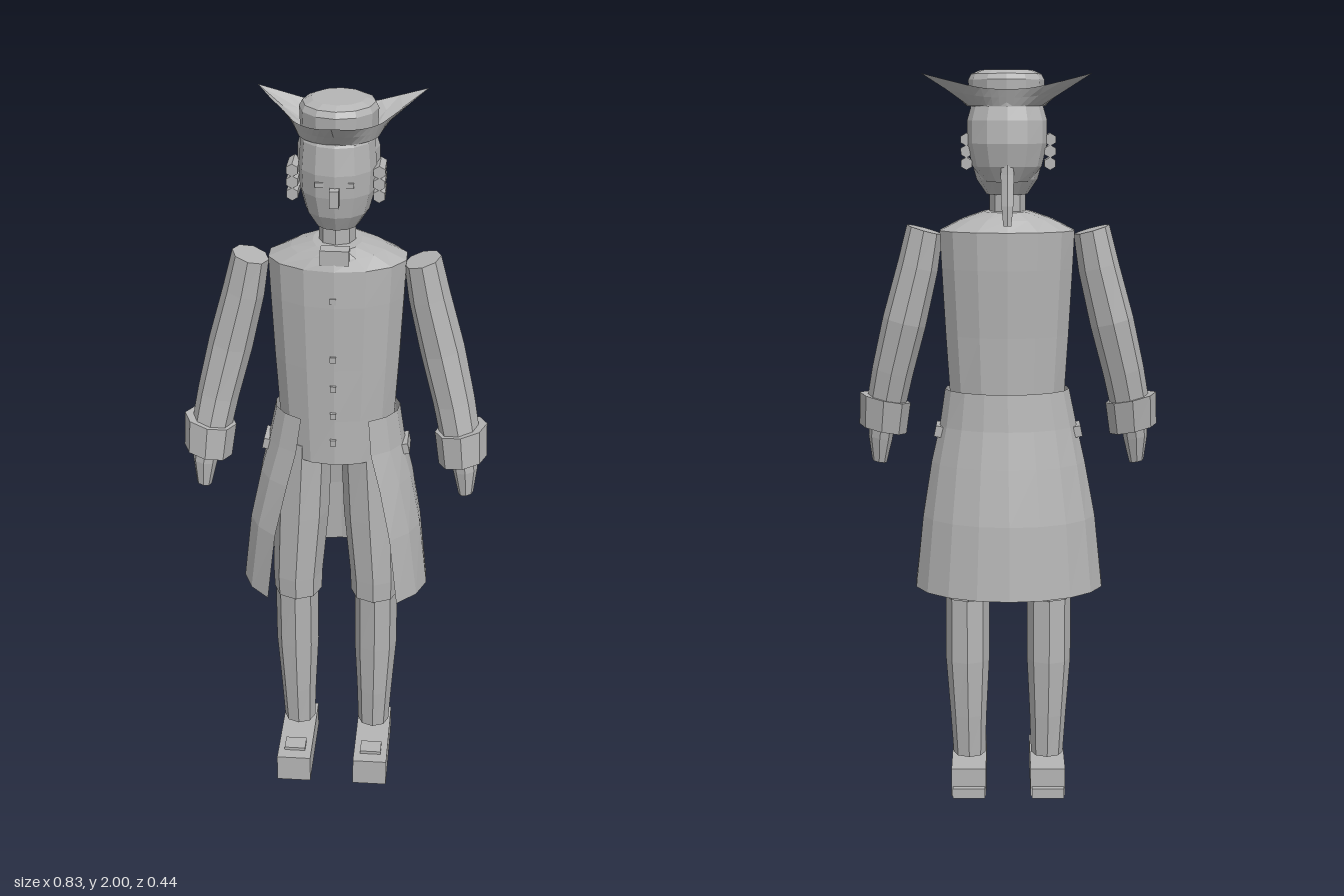
import * as THREE from 'three';

const TAU = Math.PI * 2;
const grey = new THREE.MeshStandardMaterial({ color: 0xb4b4b4, flatShading: true, side: THREE.DoubleSide });
grey.name = 'grey';

// Elliptical cross-section; angle 0 faces +z, tilt leans the ring sideways
const ring = (x, y, z, rx, rz, tilt = 0) => a =>
  [x + rx * Math.sin(a), y + tilt * rx * Math.sin(a), z + rz * Math.cos(a)];

// Skin a stack of cross-sections, listed bottom to top; gaps[i] is the half angle left open at the front
function loft(rings, n, { caps = true, gaps = rings.map(() => 0) } = {}) {
  const rows = rings.map((r, i) =>
    Array.from({ length: n + 1 }, (_, j) => r(gaps[i] + (TAU - 2 * gaps[i]) * j / n)));
  const pos = [];
  const tri = (...p) => p.forEach(v => pos.push(...v));
  for (let i = 0; i < rows.length - 1; i++) for (let j = 0; j < n; j++) {
    const a = rows[i], b = rows[i + 1];
    tri(a[j], a[j + 1], b[j + 1]);
    tri(a[j], b[j + 1], b[j]);
  }
  if (caps) {
    const mid = row => [0, 1, 2].map(k => row.slice(0, n).reduce((s, p) => s + p[k], 0) / n);
    const lo = rows[0], hi = rows[rows.length - 1], cl = mid(lo), ch = mid(hi);
    for (let j = 0; j < n; j++) {
      tri(cl, lo[j + 1], lo[j]);
      tri(ch, hi[j], hi[j + 1]);
    }
  }
  const g = new THREE.BufferGeometry();
  g.setAttribute('position', new THREE.Float32BufferAttribute(pos, 3));
  g.computeVertexNormals();
  return g;
}

export function createModel() {
  const model = new THREE.Group();
  model.name = 'figure';
  const add = (name, geo, x = 0, y = 0, z = 0) => {
    const m = new THREE.Mesh(geo, grey);
    m.name = name;
    m.position.set(x, y, z);
    model.add(m);
    return m;
  };
  const box = (name, w, h, d, x, y, z) => add(name, new THREE.BoxGeometry(w, h, d), x, y, z);

  // Coat body with sloping shoulders
  add('coatBody', loft([
    ring(0.003, 1.02, -0.015, 0.15, 0.12),
    ring(0.003, 1.15, -0.015, 0.16, 0.12),
    ring(0.003, 1.3, -0.015, 0.17, 0.123),
    ring(0.003, 1.48, -0.018, 0.18, 0.13),
    ring(0.003, 1.58, -0.02, 0.185, 0.13),
    ring(0.003, 1.61, -0.012, 0.125, 0.11),
    ring(0.003, 1.63, -0.005, 0.065, 0.095),
  ], 14));

  // Flared coat skirt, open at the front
  add('coatSkirt', loft([
    ring(-0.002, 0.6, -0.018, 0.262, 0.202),
    ring(-0.002, 0.8, -0.015, 0.24, 0.185),
    ring(0, 0.95, -0.014, 0.212, 0.158),
    ring(0, 1.05, -0.014, 0.188, 0.138),
    ring(0.003, 1.15, -0.014, 0.17, 0.127),
  ], 14, { caps: false, gaps: [0.76, 0.72, 0.64, 0.57, 0.56] }));

  // Buttons and neckcloth
  for (const y of [1.5, 1.335, 1.25, 1.17, 1.09]) box('button', 0.016, 0.016, 0.016, 0, y, 0.106);
  box('neckcloth', 0.075, 0.04, 0.04, 0.003, 1.615, 0.083);

  for (const s of [-1, 1]) {
    // Breeches, stocking and shoe
    add('breeches', loft([
      ring(s * 0.11, 0.56, -0.004, 0.068, 0.072),
      ring(s * 0.11, 0.62, -0.004, 0.07, 0.076),
      ring(s * 0.098, 0.82, -0.004, 0.077, 0.08),
      ring(s * 0.086, 1.06, -0.005, 0.075, 0.085),
    ], 8));
    add('stocking', loft([
      ring(s * 0.11, 0.1, -0.012, 0.045, 0.044),
      ring(s * 0.112, 0.22, -0.012, 0.051, 0.054),
      ring(s * 0.114, 0.38, -0.012, 0.061, 0.062),
      ring(s * 0.114, 0.58, -0.005, 0.061, 0.064),
    ], 8));
    box('shoe', 0.097, 0.08, 0.272, s * 0.111, 0.04, 0.04);
    box('shoeHeel', 0.09, 0.028, 0.022, s * 0.111, 0.014, -0.104);
    box('buckle', 0.06, 0.012, 0.05, s * 0.111, 0.083, 0.115);

    // Sleeve, cuff and hand, bending forward at the elbow
    add('sleeve', loft([
      ring(s * 0.343, 1.07, 0.043, 0.052, 0.056, s * 0.25),
      ring(s * 0.318, 1.19, 0.022, 0.055, 0.06, s * 0.25),
      ring(s * 0.283, 1.33, 0.003, 0.058, 0.066, s * 0.25),
      ring(s * 0.245, 1.48, 0, 0.054, 0.064, s * 0.25),
      ring(s * 0.225, 1.58, 0, 0.048, 0.06, s * 0.28),
    ], 8));
    add('cuff', loft([
      ring(s * 0.348, 1.025, 0.05, 0.065, 0.062, s * 0.22),
      ring(s * 0.34, 1.115, 0.038, 0.07, 0.068, s * 0.22),
    ], 8));
    add('hand', loft([
      ring(s * 0.36, 0.93, 0.065, 0.02, 0.021, s * 0.2),
      ring(s * 0.356, 1.0, 0.058, 0.033, 0.034, s * 0.2),
      ring(s * 0.348, 1.06, 0.05, 0.036, 0.038, s * 0.2),
    ], 8));

    // Pocket flap
    box('pocketFlap', 0.02, 0.03, 0.08, s * 0.19, 1.035, -0.015).rotation.z = s * 0.2;

    // Side curls of the wig
    for (const y of [1.757, 1.789, 1.82]) {
      const curl = new THREE.CylinderGeometry(0.017, 0.017, 0.08, 6).rotateX(Math.PI / 2);
      add('wigCurl', curl, s * 0.111, y, -0.013);
    }

    // Eye
    box('eye', 0.022, 0.012, 0.012, s * 0.038 + 0.002, 1.806, 0.086);
  }

  // Neck, head and nose
  add('neck', loft([
    ring(0.002, 1.6, -0.003, 0.048, 0.048),
    ring(0.002, 1.7, -0.003, 0.048, 0.048),
  ], 8));
  add('head', loft([
    ring(0.003, 1.675, 0, 0.055, 0.06),
    ring(0.003, 1.715, -0.003, 0.082, 0.086),
    ring(0.003, 1.77, -0.005, 0.097, 0.1),
    ring(0.003, 1.83, -0.005, 0.1, 0.104),
    ring(0.003, 1.9, -0.01, 0.094, 0.1),
    ring(0.003, 1.94, -0.015, 0.075, 0.08),
  ], 12));
  box('nose', 0.024, 0.045, 0.034, 0.003, 1.777, 0.103);

  // Wig over the back of the head, with a tied tail
  add('wig', loft([
    ring(0.003, 1.71, -0.045, 0.06, 0.06),
    ring(0.003, 1.75, -0.045, 0.092, 0.085),
    ring(0.003, 1.81, -0.045, 0.106, 0.1),
    ring(0.003, 1.87, -0.042, 0.106, 0.097),
    ring(0.003, 1.925, -0.035, 0.09, 0.085),
  ], 12));
  add('wigTail', loft([
    ring(0.003, 1.598, -0.143, 0.012, 0.01),
    ring(0.003, 1.65, -0.136, 0.018, 0.015),
    ring(0.003, 1.73, -0.117, 0.02, 0.018),
    ring(0.003, 1.82, -0.108, 0.015, 0.015),
  ], 6));

  // Three-cornered hat: crown and upturned brim
  add('hatCrown', loft([
    ring(0.005, 1.905, -0.022, 0.098, 0.108),
    ring(0.005, 1.975, -0.022, 0.101, 0.112),
    ring(0.005, 1.99, -0.022, 0.093, 0.102),
    ring(0.005, 2.0, -0.022, 0.07, 0.078),
  ], 12));
  const brim = t => a => {
    const third = TAU / 3;
    const corner = Math.round(a / third);
    const off = Math.min(1, Math.abs(a - third * corner) / (third / 2));
    const peak = Math.pow(1 - off, 3.5);
    const reach = corner % 3 === 0 ? 0.117 : 0.133;
    const r = 0.105 + t * (0.017 + reach * peak);
    return [0.005 + r * Math.sin(a), 1.907 + t * (0.043 + 0.04 * peak), -0.022 + r * Math.cos(a)];
  };
  add('hatBrim', loft([brim(0), brim(0.5), brim(1)], 36, { caps: false }));

  return model;
}
